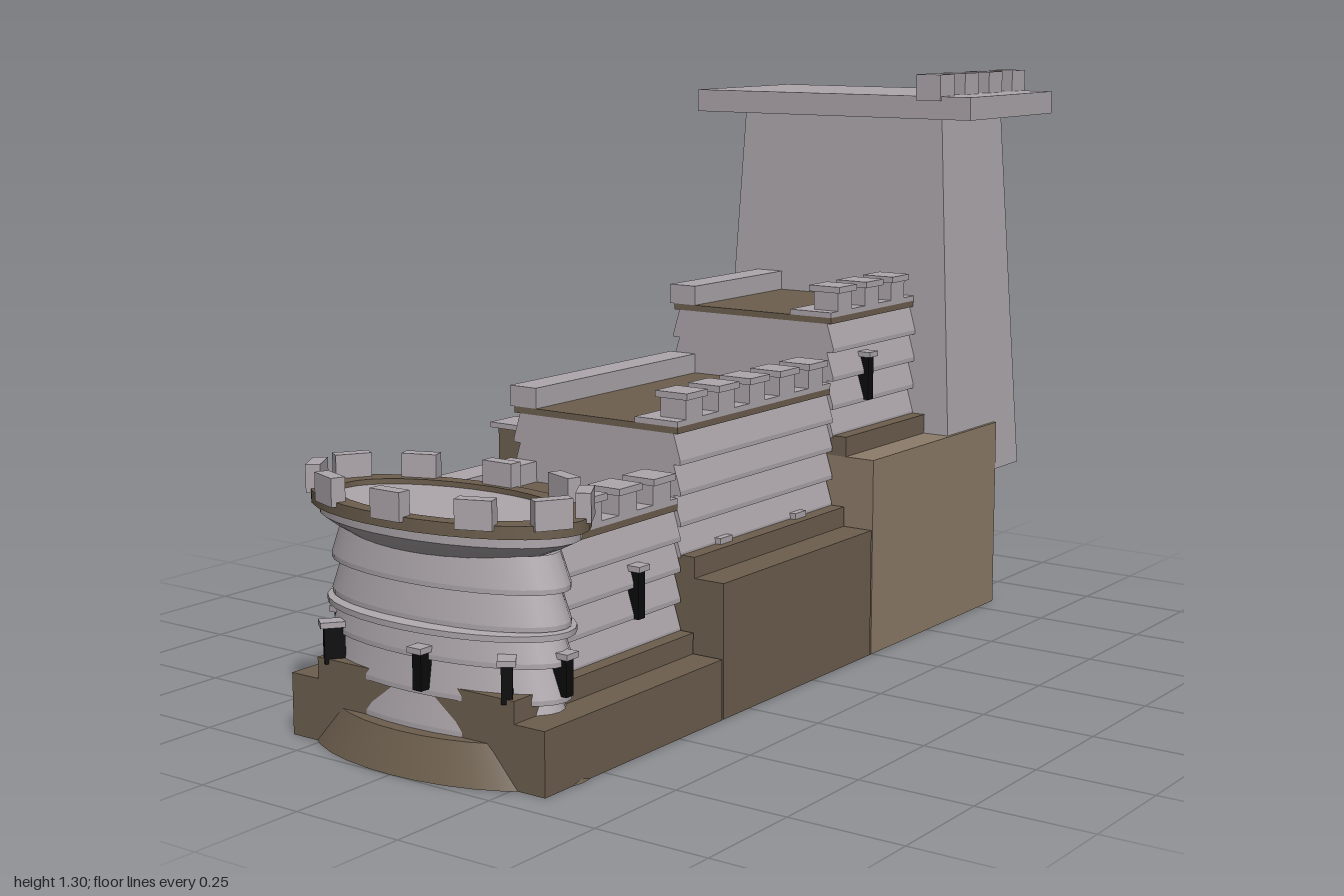
import * as THREE from 'three';

const mat = (name, color, side = THREE.FrontSide) => {
  const m = new THREE.MeshStandardMaterial({ color, side });
  m.name = name;
  return m;
};

export function createModel() {
  const root = new THREE.Group();
  root.name = 'castle';
  const stone = mat('grey stone', 0xaea7ac);
  const earth = mat('dark brown', 0x6d5f4e);
  const tan = mat('light brown', 0x8d7c69);
  const black = mat('black', 0x0b0b0b);

  const add = (name, geo, material, parent = root) => {
    const m = new THREE.Mesh(geo, material);
    m.name = name;
    parent.add(m);
    return m;
  };
  // box given by its limits on each axis
  const box = (name, material, x0, x1, y0, y1, z0, z1, parent = root) => {
    const m = add(name, new THREE.BoxGeometry(x1 - x0, y1 - y0, z1 - z0), material, parent);
    m.position.set((x0 + x1) / 2, (y0 + y1) / 2, (z0 + z1) / 2);
    return m;
  };
  // arrow slit with a small stone hood, facing local +z
  const slit = (x, y, z, turn, h = 0.1) => {
    const g = new THREE.Group();
    g.name = 'arrowSlit';
    box('slitOpening', black, -0.011, 0.011, 0, h, -0.03, 0.012, g);
    box('slitHood', stone, -0.018, 0.018, h, h + 0.012, -0.03, 0.02, g);
    g.position.set(x, y, z);
    g.rotation.y = turn;
    root.add(g);
  };

  // wall with overlapping stone courses, the same on both long sides
  const courseWall = (x0, x1, y0, y1) => {
    const rows = 4, h = (y1 - y0) / rows, side = [];
    for (let i = 0; i < rows; i++) {
      side.push([0.222, y0 + i * h], [0.222, y0 + i * h + 0.01], [0.205, y0 + (i + 1) * h]);
    }
    const pts = [...side, ...side.map(([z, y]) => [-z, y]).reverse()];
    const shape = new THREE.Shape(pts.map(([z, y]) => new THREE.Vector2(z, y)));
    const geo = new THREE.ExtrudeGeometry(shape, { depth: x1 - x0, bevelEnabled: false });
    geo.rotateY(Math.PI / 2);
    add('courseWall', geo, stone).position.x = x0;
  };

  // three stepped sections: base block, ledge, wall, roof and parapets
  const sections = [
    { x0: -0.93, x1: -0.35, wall: -0.82, end: -0.35, base: 0.13, top: 0.43, m: earth, merlons: [-0.635, -0.52, -0.405] },
    { x0: -0.345, x1: 0.24, wall: -0.35, end: 0.24, base: 0.29, top: 0.59, m: earth, merlons: [-0.29, -0.173, -0.056, 0.061, 0.178] },
    { x0: 0.245, x1: 0.825, wall: 0.24, end: 0.66, base: 0.45, top: 0.75, m: tan, merlons: [0.3, 0.417, 0.534] },
  ];
  for (const s of sections) {
    box('baseBlock', s.m, s.x0, s.x1, 0, s.base, -0.328, 0.328);
    box('ledge', earth, s.x0, Math.min(s.x1, 0.64), s.base, s.base + 0.045, -0.255, 0.255);
    courseWall(s.wall, s.end, s.base + 0.04, s.top);
    const r = s.top + 0.014;
    box('roof', earth, s.wall, s.end, s.top, r, -0.22, 0.215);
    box('backParapet', stone, s.wall, s.end, r, r + 0.045, -0.232, -0.16);
    box('frontParapet', stone, s.wall, s.end, r, r + 0.012, 0.105, 0.215);
    for (const x of s.merlons) {
      box('merlon', stone, x - 0.03, x + 0.03, r, r + 0.054, 0.15, 0.215);
      box('merlonCap', stone, x - 0.038, x + 0.038, r + 0.054, r + 0.068, 0.142, 0.223);
    }
  }
  for (const x of [-0.2, 0.09]) box('ledgeStone', stone, x - 0.022, x + 0.022, 0.335, 0.348, 0.2, 0.235);

  // buttresses along the back
  for (let i = 0; i < 4; i++) {
    const x = -0.205 + i * 0.295;
    box('buttress', i > 1 ? tan : earth, x - 0.036, x + 0.036, 0.29, 0.525, -0.358, -0.24);
    box('buttressCap', stone, x - 0.043, x + 0.043, 0.525, 0.537, -0.376, -0.23);
  }

  // tall tapered tower with an overhanging top
  const keep = new THREE.BoxGeometry(1, 1, 1);
  const p = keep.attributes.position;
  for (let i = 0; i < p.count; i++) {
    const up = p.getY(i) > 0;
    const x = p.getX(i) > 0 ? (up ? 0.912 : 0.942) : (up ? 0.622 : 0.594);
    p.setXYZ(i, x, up ? 1.2 : 0.333, Math.sign(p.getZ(i)) * (up ? 0.276 : 0.327));
  }
  keep.computeVertexNormals();
  add('tallTower', keep, stone);
  box('tallTowerTop', stone, 0.565, 0.972, 1.197, 1.25, -0.382, 0.382);
  for (let i = 0; i < 4; i++) {
    const x = 0.592 + i * 0.1173;
    box('tallTowerMerlon', stone, x - 0.033, x + 0.033, 1.24, 1.3, 0.242, 0.306);
  }

  // oval tower: lathed parts stretched along z
  const oval = new THREE.Group();
  oval.name = 'ovalTower';
  oval.position.x = -0.82;
  root.add(oval);
  const lathe = (name, material, rz, pts) => {
    // separate bands keep their edges sharp
    for (let i = 0; i < pts.length - 1; i++) {
      const band = [pts[i], pts[i + 1]].map(([r, y]) => new THREE.Vector2(r, y));
      add(name, new THREE.LatheGeometry(band, 32), material, oval).scale.z = rz;
    }
  };
  lathe('towerFoot', earth, 1.85, [[0, 0], [0.18, 0], [0.15, 0.08], [0, 0.08]]);
  const courses = [];
  for (let i = 0; i < 5; i++) {
    const y = 0.08 + i * 0.072;
    courses.push([0.122, y], [0.122, y + 0.01], [0.112, y + 0.072]);
  }
  lathe('towerBody', stone, 2.4, courses);
  lathe('towerBand', stone, 2.1, [[0.11, 0.27], [0.143, 0.28], [0.143, 0.292], [0.11, 0.3]]);
  lathe('towerCorbel', stone, 2.02, [[0.11, 0.425], [0.14, 0.45], [0.155, 0.465], [0.155, 0.49]]);
  lathe('towerRim', earth, 1.95, [[0.14, 0.485], [0.17, 0.485], [0.17, 0.511], [0.138, 0.511], [0.138, 0.49]]);
  lathe('towerFloor', stone, 1.95, [[0.142, 0.5], [0, 0.5]]);
  for (let i = 0; i < 10; i++) {
    const a = i * Math.PI / 5, c = Math.cos(a), s = Math.sin(a);
    const m = add('towerMerlon', new THREE.BoxGeometry(0.075, 0.058, 0.03), stone, oval);
    m.position.set(0.164 * c, 0.531, 0.318 * s);
    m.rotation.y = Math.atan2(c / 0.164, s / 0.318);
  }

  // arrow slits
  slit(-0.5, 0.235, 0.222, 0);
  slit(0.385, 0.56, 0.222, 0);
  slit(0.965, 0.565, 0.22, Math.PI / 2);
  slit(-0.82, 0.165, 0.29, 0, 0.075);
  slit(-0.82, 0.165, -0.29, Math.PI, 0.075);
  slit(-0.95, 0.165, 0.04, -Math.PI / 2, 0.075);
  for (const s of [1, -1]) slit(-0.92, 0.165, s * 0.23, s > 0 ? -0.9 : -2.24, 0.075);
  return root;
}
